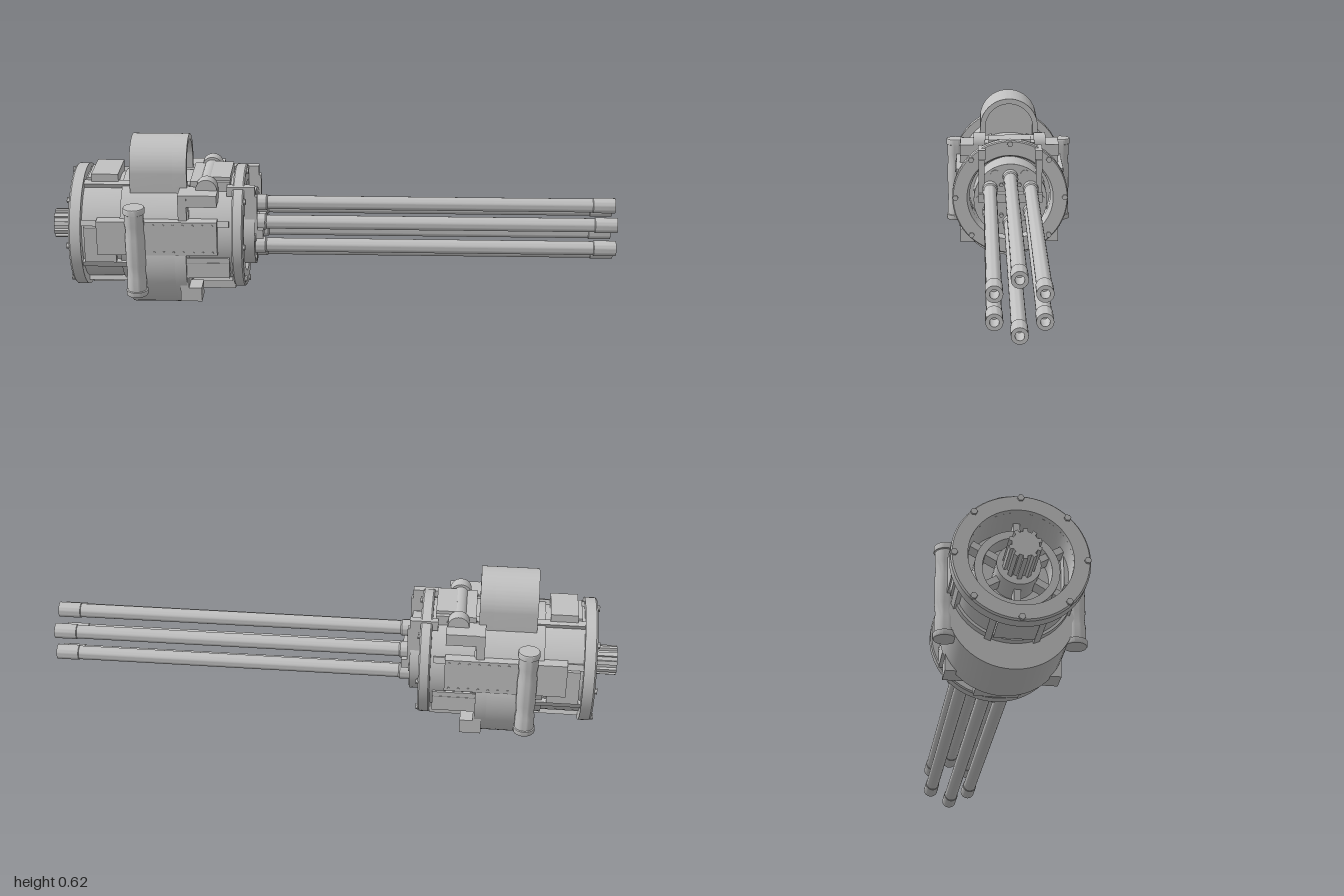
import * as THREE from 'three';
import { toCreasedNormals } from 'three/addons/utils/BufferGeometryUtils.js';

const AXIS = 0.285; // height of the rotation axis

export function createModel() {
  const model = new THREE.Group();
  const steel = new THREE.MeshStandardMaterial({ color: 0xc0c0c0 });
  steel.name = 'gunmetal grey';

  function add(name, geo, x = 0, y = 0, z = 0, parent = model) {
    const m = new THREE.Mesh(geo, steel);
    m.name = name;
    m.position.set(x, y, z);
    parent.add(m);
    return m;
  }
  // Box given by its limits
  function box(name, x0, x1, y0, y1, z0, z1) {
    return add(name, new THREE.BoxGeometry(x1 - x0, y1 - y0, z1 - z0), (x0 + x1) / 2, (y0 + y1) / 2, (z0 + z1) / 2);
  }
  // Turned part along x; points are [radius, x]
  function turned(points, seg = 48) {
    const g = new THREE.LatheGeometry(points.map(p => new THREE.Vector2(p[0], p[1])), seg);
    g.rotateZ(-Math.PI / 2);
    return toCreasedNormals(g, 0.6);
  }
  function tube(rOut, rIn, x0, x1, seg) {
    return turned([[rIn, x0], [rOut, x0], [rOut, x1], [rIn, x1], [rIn, x0]], seg);
  }
  function rod(r, x0, x1, seg = 20) {
    return turned([[0, x0], [r, x0], [r, x1], [0, x1]], seg);
  }
  // Outline in the z-y plane pushed along x
  function extrudeX(shape, x0, x1) {
    const g = new THREE.ExtrudeGeometry(shape, { depth: x1 - x0, bevelEnabled: false, curveSegments: 32 });
    g.rotateY(Math.PI / 2).translate(x0, 0, 0);
    return toCreasedNormals(g, 0.6);
  }
  // Calls fn(y, z, angle) around the axis
  function around(n, r, start, fn) {
    for (let i = 0; i < n; i++) {
      const a = start + i * 2 * Math.PI / n;
      fn(AXIS + r * Math.cos(a), r * Math.sin(a), a);
    }
  }

  // Housing: open at the rear, with an open collar at the front
  add('housing', turned([
    [0, -0.77], [0.165, -0.77], [0.165, -0.9], [0.188, -0.9], [0.188, -0.74], [0.197, -0.74],
    [0.197, -0.5], [0.19, -0.5], [0.19, -0.31], [0.163, -0.31], [0.153, -0.34], [0.153, -0.4], [0, -0.4],
  ]), 0, AXIS);

  // End flanges with bolts
  add('rearFlange', turned([[0.165, -0.918], [0.213, -0.918], [0.218, -0.912], [0.218, -0.875], [0.165, -0.875], [0.165, -0.918]], 64), 0, AXIS);
  add('frontFlange', turned([[0.163, -0.35], [0.215, -0.35], [0.219, -0.345], [0.219, -0.314], [0.215, -0.309], [0.163, -0.309], [0.155, -0.33]], 64), 0, AXIS);
  around(8, 0.207, 0, (y, z) => {
    add('frontBolt', rod(0.011, -0.31, -0.302, 6), 0, y, z);
    add('rearBolt', rod(0.011, -0.925, -0.915, 6), 0, y, z);
  });

  // Lengthwise ribs and raised panels on the housing
  around(8, 0.193, Math.PI / 8, (y, z, a) => {
    const rib = add('housingRib', new THREE.BoxGeometry(0.52, 0.022, 0.022), -0.62, y, z);
    rib.rotation.x = a;
  });
  around(4, 0.189, 0, (y, z, a) => {
    const panel = add('rearPanel', new THREE.BoxGeometry(0.11, 0.022, 0.13), -0.81, y, z);
    panel.rotation.x = a;
  });
  box('topCover', -0.85, -0.755, 0.465, 0.502, -0.075, 0.075);
  box('bottomCover', -0.5, -0.35, 0.068, 0.12, -0.075, 0.075);

  // Rear rotor web and splined drive shaft
  around(6, 0.105, 0, (y, z, a) => {
    const spoke = add('rotorSpoke', new THREE.BoxGeometry(0.05, 0.12, 0.022), -0.81, y, z);
    spoke.rotation.x = a;
  });
  add('rotorRim', tube(0.135, 0.11, -0.84, -0.77), 0, AXIS);
  add('driveShaft', rod(0.042, -1, -0.76, 32), 0, AXIS);
  add('shaftCollar', rod(0.07, -0.87, -0.76, 32), 0, AXIS);
  around(10, 0.043, 0, (y, z, a) => {
    const spline = add('shaftSpline', new THREE.BoxGeometry(0.13, 0.018, 0.014), -0.935, y, z);
    spline.rotation.x = a;
  });

  // Lower feed drum with a recessed front
  const drum = new THREE.Shape().absarc(0, 0.205, 0.205, 0, Math.PI * 2);
  add('feedDrum', extrudeX(drum, -0.715, -0.55));
  const rim = new THREE.Shape().absarc(0, 0.205, 0.205, 0, Math.PI * 2);
  rim.holes.push(new THREE.Path().absarc(0, 0.205, 0.183, 0, Math.PI * 2, true));
  add('feedDrumRim', extrudeX(rim, -0.55, -0.51));

  // Upper feed dome with a recessed front
  function arch(r, base, Kind) {
    const s = new Kind();
    s.moveTo(-r, base);
    s.lineTo(r, base);
    s.lineTo(r, 0.513);
    s.absarc(0, 0.513, r, 0, Math.PI);
    s.lineTo(-r, base);
    return s;
  }
  add('feedDome', extrudeX(arch(0.111, 0.43, THREE.Shape), -0.71, -0.56));
  const domeRim = arch(0.111, 0.43, THREE.Shape);
  domeRim.holes.push(arch(0.091, 0.44, THREE.Path));
  add('feedDomeRim', extrudeX(domeRim, -0.56, -0.51));

  // Square mounting plate around the housing, with corner blocks
  box('mountingPlate', -0.535, -0.505, 0.068, 0.468, -0.19, 0.19);
  for (const s of [-1, 1]) {
    const zr = (a, b) => s > 0 ? [a, b] : [-b, -a];
    box('lowerCornerBlock', -0.535, -0.46, 0.068, 0.12, ...zr(0.12, 0.19));
    box('upperCornerBlock', -0.505, -0.4, 0.425, 0.468, ...zr(0.1, 0.188));
    box('sidePlate', -0.82, -0.4, 0.25, 0.375, ...zr(0.15, 0.205));
    box('sideRail', -0.53, -0.36, 0.16, 0.235, ...zr(0.14, 0.192));
    for (let i = 0; i < 7; i++) {
      for (const y of [0.262, 0.363]) {
        const rivet = add('rivet', new THREE.CylinderGeometry(0.004, 0.004, 0.004, 8), -0.62 + i * 0.034, y, s * 0.206);
        rivet.rotation.x = Math.PI / 2;
      }
    }

    // Upright side cylinder with end caps
    const profile = [[0, 0.103], [0.036, 0.103], [0.038, 0.106], [0.038, 0.122], [0.034, 0.124],
      [0.034, 0.17], [0.031, 0.19], [0.034, 0.22], [0.034, 0.32], [0.031, 0.35], [0.034, 0.37],
      [0.034, 0.409], [0.038, 0.411], [0.038, 0.429], [0.036, 0.432], [0, 0.432]];
    const g = new THREE.LatheGeometry(profile.map(p => new THREE.Vector2(...p)), 28);
    add('sideCylinder', toCreasedNormals(g, 0.6), -0.685, 0, s * 0.208);

    // Front bracket arms
    box('bracketArm', -0.31, -0.265, 0.29, 0.44, ...zr(0.096, 0.119));
    box('bracketArmHead', -0.37, -0.272, 0.44, 0.475, ...zr(0.093, 0.12));
  }
  box('bracketCrossbar', -0.275, -0.245, 0.281, 0.315, -0.12, 0.12);

  // Cross pin and block on top, behind the front flange
  box('topBlock', -0.5, -0.36, 0.44, 0.485, -0.095, 0.095);
  box('topBlockLid', -0.43, -0.36, 0.48, 0.497, -0.08, 0.08);
  const pin = add('crossPin', new THREE.CylinderGeometry(0.028, 0.028, 0.25, 24), -0.44, 0.47, 0);
  pin.rotation.x = Math.PI / 2;
  for (const s of [-1, 1]) {
    const head = add('crossPinHead', new THREE.CylinderGeometry(0.037, 0.037, 0.045, 24), -0.44, 0.47, s * 0.114);
    head.rotation.x = Math.PI / 2;
  }

  // Rotor face with bosses and bolts
  add('rotorFace', rod(0.138, -0.41, -0.275, 48), 0, AXIS);
  around(6, 0.112, Math.PI / 6, (y, z) => add('rotorBoss', rod(0.018, -0.28, -0.271), 0, y, z));
  around(4, 0.068, Math.PI / 6, (y, z) => add('rotorBolt', rod(0.008, -0.28, -0.262, 6), 0, AXIS + Math.sign(y - AXIS) * 0.059, Math.sign(z) * 0.034));

  // Six barrels with open muzzles
  const barrel = turned([[0, -0.3], [0.029, -0.3], [0.029, -0.24], [0.0245, -0.235], [0.0245, 0.92],
    [0.027, 0.922], [0.027, 1], [0.0145, 1], [0.0145, 0.93], [0, 0.93]], 28);
  around(6, 0.088, 0, (y, z) => add('barrel', barrel, 0, y, z));

  return model;
}
